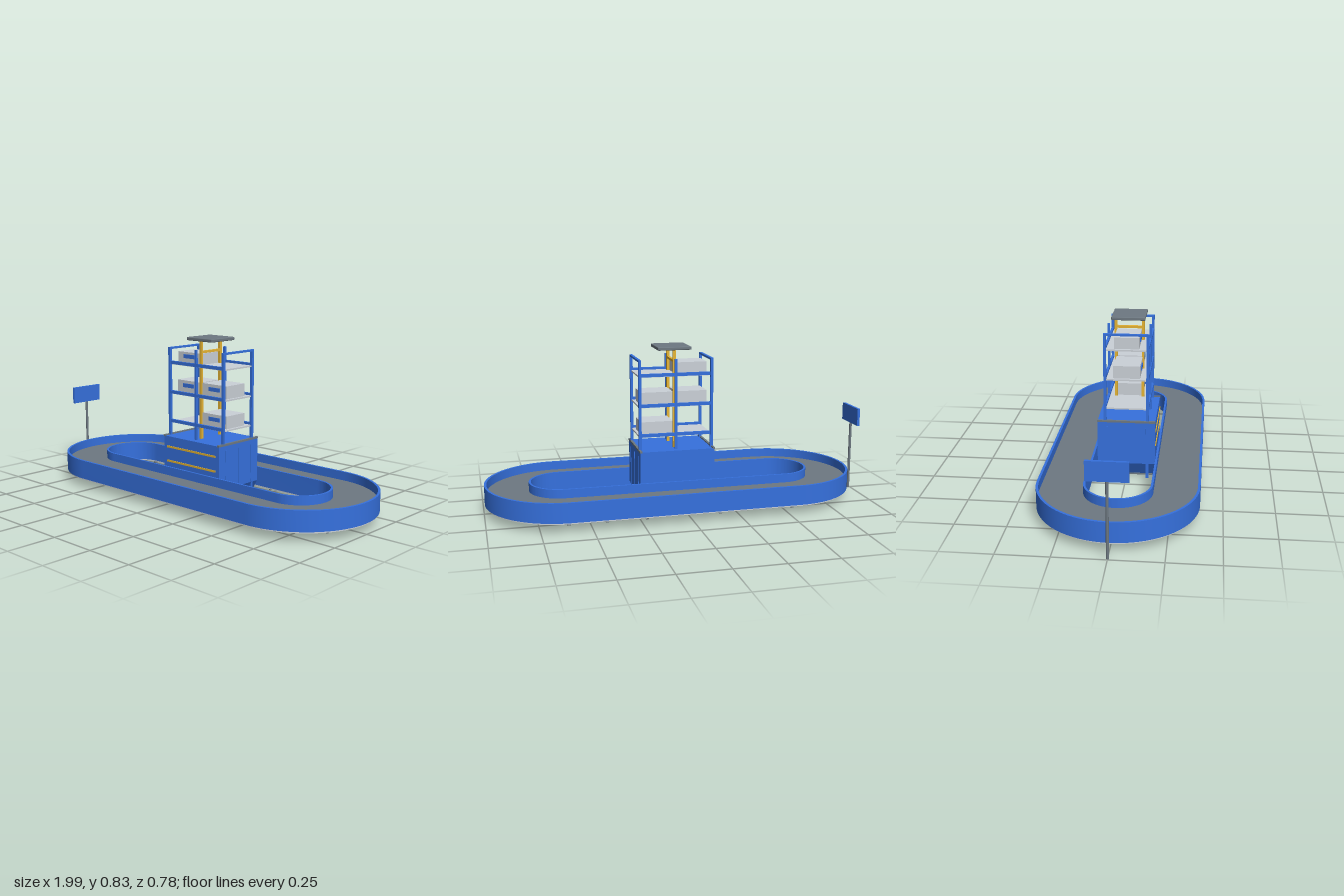
import * as THREE from 'three';
import { toCreasedNormals } from 'three/addons/utils/BufferGeometryUtils.js';
import { RoundedBoxGeometry } from 'three/addons/geometries/RoundedBoxGeometry.js';

const mat = (name, color) => {
  const m = new THREE.MeshStandardMaterial({ color });
  m.name = name;
  return m;
};

export function createModel() {
  const blue = mat('blue paint', 0x3671de);
  const grey = mat('dark grey', 0x6e7982);
  const light = mat('light grey', 0xcbd1d8);
  const yellow = mat('yellow', 0xeebb36);

  const model = new THREE.Group();
  model.name = 'carouselWithStorageTower';
  const CX = 0.027; // centre line of track and tower

  const group = (name) => {
    const g = new THREE.Group();
    g.name = name;
    model.add(g);
    return g;
  };
  const add = (parent, name, geo, material, x, y, z) => {
    const m = new THREE.Mesh(geo, material);
    m.name = name;
    m.position.set(x, y, z);
    parent.add(m);
  };
  // Box given by its centre in x and z and its lower and upper height
  const box = (parent, name, material, w, d, y0, y1, x, z) =>
    add(parent, name, new THREE.BoxGeometry(w, y1 - y0, d), material, x, (y0 + y1) / 2, z);

  // Stadium ring, extruded upwards
  const HALF = 0.578;
  const stadium = (path, r) => {
    path.moveTo(-HALF, -r);
    path.lineTo(HALF, -r);
    path.absarc(HALF, 0, r, -Math.PI / 2, Math.PI / 2, false);
    path.lineTo(-HALF, r);
    path.absarc(-HALF, 0, r, Math.PI / 2, Math.PI * 1.5, false);
    return path;
  };
  const ring = (parent, name, material, rOut, rIn, y0, y1) => {
    const shape = stadium(new THREE.Shape(), rOut);
    shape.holes.push(stadium(new THREE.Path(), rIn));
    const geo = new THREE.ExtrudeGeometry(shape, { depth: y1 - y0, bevelEnabled: false, curveSegments: 32 });
    geo.rotateX(-Math.PI / 2);
    add(parent, name, toCreasedNormals(geo, 0.5), material, CX, y0, 0);
  };

  // Oval track
  const track = group('track');
  ring(track, 'outerWall', blue, 0.39, 0.378, 0.05, 0.15);
  ring(track, 'innerWall', blue, 0.167, 0.156, 0.05, 0.15);
  ring(track, 'deck', grey, 0.378, 0.167, 0.09, 0.105);
  ring(track, 'underside', light, 0.385, 0.161, 0.043, 0.05);

  // Track legs
  const legGeo = new THREE.CylinderGeometry(0.009, 0.009, 0.045, 12);
  const legs = [
    [-0.165, -0.27], [0.215, -0.27], [0.415, -0.27], [0.605, -0.27], [0.8, -0.19],
    [0.875, 0], [0.855, 0.105], [0.605, 0.27], [0.215, 0.27], [0.03, 0.27],
    [-0.165, 0.27], [-0.55, 0.27], [-0.655, 0.25], [-0.745, 0.19], [-0.82, 0],
    [-0.745, -0.19], [-0.655, -0.25], [-0.55, -0.27],
  ];
  for (const [x, z] of legs) add(track, 'leg', legGeo, grey, x, 0.0225, z);

  // Cabinet with a narrowing foot
  const cabinet = group('cabinet');
  const outline = new THREE.Shape();
  const profile = [[0.195, 0.309], [-0.195, 0.309], [-0.195, 0.08], [-0.155, 0.008], [0.155, 0.008], [0.195, 0.08]];
  profile.forEach(([x, y], i) => (i ? outline.lineTo(x, y) : outline.moveTo(x, y)));
  const bodyGeo = new THREE.ExtrudeGeometry(outline, { depth: 0.296, bevelEnabled: false });
  add(cabinet, 'body', bodyGeo, blue, CX, 0, -0.148);
  box(cabinet, 'floorPlate', grey, 0.2, 0.2, 0.004, 0.008, CX, 0);
  for (const s of [-1, 1]) {
    box(cabinet, 'topTrim', grey, 0.012, 0.3, 0.305, 0.315, CX + s * 0.191, 0);
    box(cabinet, 'bottomTrim', grey, 0.012, 0.3, 0.002, 0.01, CX + s * 0.153, 0);
    for (const z of [-0.097, 0, 0.097])
      box(cabinet, 'sideRib', blue, 0.006, 0.007, 0.08, 0.28, CX + s * 0.195, z);
  }
  for (const y of [0.178, 0.254]) box(cabinet, 'frontStripe', yellow, 0.345, 0.005, y - 0.005, y + 0.005, CX, 0.1495);

  // Rack frame
  const rack = group('rack');
  for (const z of [-0.108, 0.108]) {
    for (const s of [-1, 1]) box(rack, 'post', blue, 0.014, 0.014, 0, 0.772, CX + s * 0.187, z);
    box(rack, 'middlePost', blue, 0.012, 0.012, 0.3, 0.772, CX, z);
  }
  for (const s of [-1, 1]) box(rack, 'endBeam', blue, 0.014, 0.23, 0.762, 0.772, CX + s * 0.187, 0);

  // Shelves with front and back rails
  const levels = [0.378, 0.531, 0.686];
  for (const y of levels) {
    box(rack, 'shelf', light, 0.376, 0.204, y - 0.004, y + 0.004, CX, 0);
    for (const z of [-0.108, 0.108]) box(rack, 'rail', blue, 0.374, 0.012, y, y + 0.016, CX, z);
  }

  // Lift mast
  const mast = group('mast');
  for (const z of [-0.07, 0.07]) box(mast, 'column', yellow, 0.014, 0.014, 0.305, 0.813, CX, z);
  box(mast, 'crossBeam', yellow, 0.014, 0.14, 0.752, 0.764, CX, 0);
  add(mast, 'cap', new RoundedBoxGeometry(0.174, 0.017, 0.172, 2, 0.004), grey, CX, 0.8215, 0);

  // Storage bins with front labels: column side, level, height, half depth
  const bins = [[-1, 2, 0.058, 0.063], [-1, 1, 0.065, 0.068], [1, 1, 0.065, 0.068], [1, 0, 0.065, 0.068]];
  for (const [side, level, h, d] of bins) {
    const x = CX + side * 0.09;
    const y = levels[level] + 0.004;
    const mid = y + h / 2 + 0.007;
    box(rack, 'bin', light, 0.165, d * 2, y, y + h, x, 0);
    box(rack, 'binLabel', blue, 0.075, 0.005, mid - 0.01, mid + 0.01, x, d + 0.0025);
  }

  // Sign beside the track
  const sign = group('sign');
  add(sign, 'signPost', new THREE.CylinderGeometry(0.007, 0.007, 0.4, 12), grey, -0.99, 0.2, 0);
  box(sign, 'signPanel', blue, 0.014, 0.19, 0.37, 0.463, -0.99, 0);

  return model;
}
